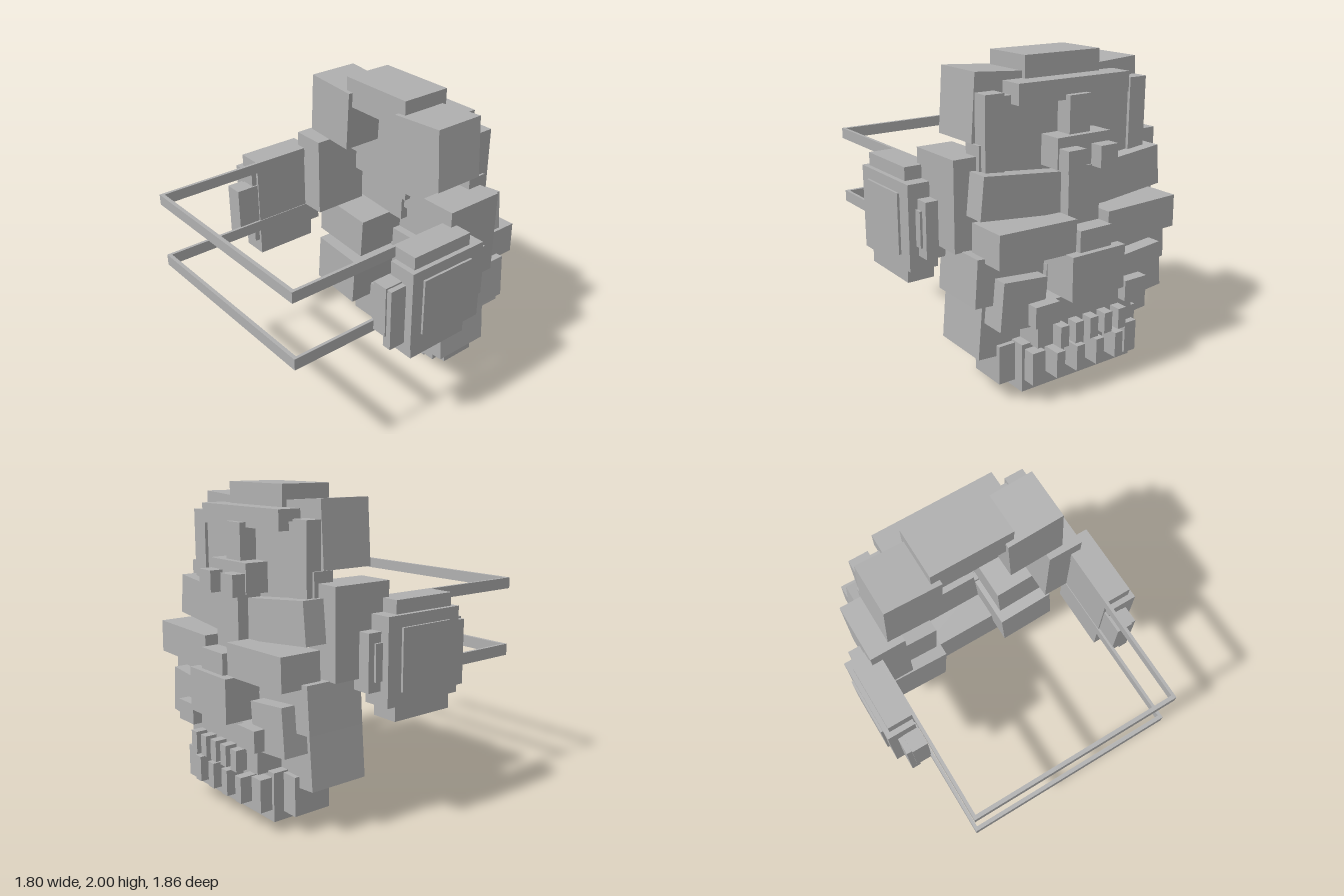
import * as THREE from 'three';

export function createModel() {
  const group = new THREE.Group();
  const grey = new THREE.MeshStandardMaterial({ color: 0xb0b0b0 });
  grey.name = 'plain grey';

  // Box from its limits, optionally tilted about z
  function box(name, x0, x1, y0, y1, z0, z1, tilt = 0) {
    const mesh = new THREE.Mesh(new THREE.BoxGeometry(x1 - x0, y1 - y0, z1 - z0), grey);
    mesh.position.set((x0 + x1) / 2, (y0 + y1) / 2, (z0 + z1) / 2);
    mesh.rotation.z = tilt;
    mesh.name = name;
    group.add(mesh);
  }
  const mid = (name, halfWidth, ...rest) => box(name, -halfWidth, halfWidth, ...rest);
  // The same box on both sides, tilt mirrored
  function pair(name, x0, x1, y0, y1, z0, z1, tilt = 0) {
    box(name + 'Left', x0, x1, y0, y1, z0, z1, tilt);
    box(name + 'Right', -x1, -x0, y0, y1, z0, z1, -tilt);
  }

  // Cranium
  mid('crown', 0.27, 1.81, 2.0, -0.57, -0.23);
  mid('crownStrip', 0.4, 1.75, 1.87, -0.69, -0.5);
  mid('forehead', 0.46, 1.22, 1.8, -0.62, -0.47);
  pair('crownCorner', 0.226, 0.596, 1.53, 1.92, -0.54, -0.2, 0.065);
  pair('templeStrip', 0.46, 0.585, 1.38, 1.82, -0.64, -0.52);
  pair('templeBack', 0.4, 0.6, 1.35, 1.54, -0.6, -0.47);

  // Forehead ornament
  mid('ornamentPost', 0.075, 1.55, 1.78, -0.73, -0.6);
  mid('ornamentBar', 0.19, 1.38, 1.56, -0.77, -0.6);
  pair('ornamentStud', 0.055, 0.18, 1.37, 1.5, -0.855, -0.74);

  // Brows, nose and cheekbones
  pair('brow', 0.045, 0.655, 1.12, 1.37, -0.71, -0.57, 0.1);
  mid('noseBridge', 0.115, 1.0, 1.38, -0.78, -0.62);
  mid('noseTip', 0.115, 0.88, 1.04, -0.895, -0.65);
  pair('cheekbone', 0.12, 0.65, 0.91, 1.11, -0.865, -0.6, 0.02);
  pair('cheek', 0.25, 0.71, 0.645, 0.93, -0.73, -0.35, 0.07);
  pair('cheekPad', 0.3, 0.6, 0.51, 0.8, -0.82, -0.66, 0.09);
  pair('templeBlock', 0.51, 0.745, 0.94, 1.475, -0.57, -0.18);

  // Upper jaw
  mid('upperLip', 0.195, 0.64, 0.91, -0.93, -0.66);
  mid('upperJaw', 0.36, 0.36, 0.64, -0.83, -0.64);
  mid('palate', 0.2, 0.52, 0.8, -0.7, -0.6);
  pair('lipStud', 0.25, 0.42, 0.52, 0.65, -0.89, -0.7);
  for (let i = -2; i <= 2; i++) {
    box('upperTooth', i * 0.11 - 0.03, i * 0.11 + 0.03, 0.36, 0.49, -0.905, -0.8);
  }

  // Lower jaw and chin
  mid('chin', 0.42, 0.07, 0.37, -0.76, -0.44);
  mid('chinFoot', 0.285, 0, 0.08, -0.64, -0.49);
  pair('chinSide', 0.33, 0.53, 0.12, 0.36, -0.69, -0.44);
  pair('canine', 0.31, 0.4, 0.14, 0.34, -0.84, -0.7);
  pair('jaw', 0.24, 0.64, 0.285, 0.635, -0.66, -0.27, 0.08);
  for (let i = 0; i < 4; i++) {
    const x = -0.225 + i * 0.15;
    box('lowerTooth', x - 0.03, x + 0.03, 0.16, 0.32, -0.88, -0.74);
  }

  // Ear pieces
  pair('earCore', 0.68, 0.855, 0.68, 1.38, -0.225, 0.21);
  pair('earShell', 0.7, 0.885, 0.78, 1.3, -0.31, 0.245);
  pair('earPlate', 0.88, 0.9, 0.86, 1.23, -0.21, 0.165);
  pair('earFrontFin', 0.69, 0.795, 0.88, 1.21, 0.2, 0.365);
  pair('earFrontRib', 0.77, 0.83, 0.8, 1.2, 0.2, 0.355);
  pair('earRearFin', 0.7, 0.84, 0.93, 1.15, -0.36, -0.3);
  pair('earRearRib', 0.7, 0.825, 0.87, 1.21, -0.4, -0.3);

  // Two straps looping forward
  for (const [name, y0, y1] of [['upperStrap', 1.31, 1.38], ['lowerStrap', 0.865, 0.94]]) {
    pair(name + 'Side', 0.675, 0.695, y0, y1, -0.2, 0.93);
    mid(name + 'Front', 0.695, y0, y1, 0.905, 0.93);
  }
  return group;
}
